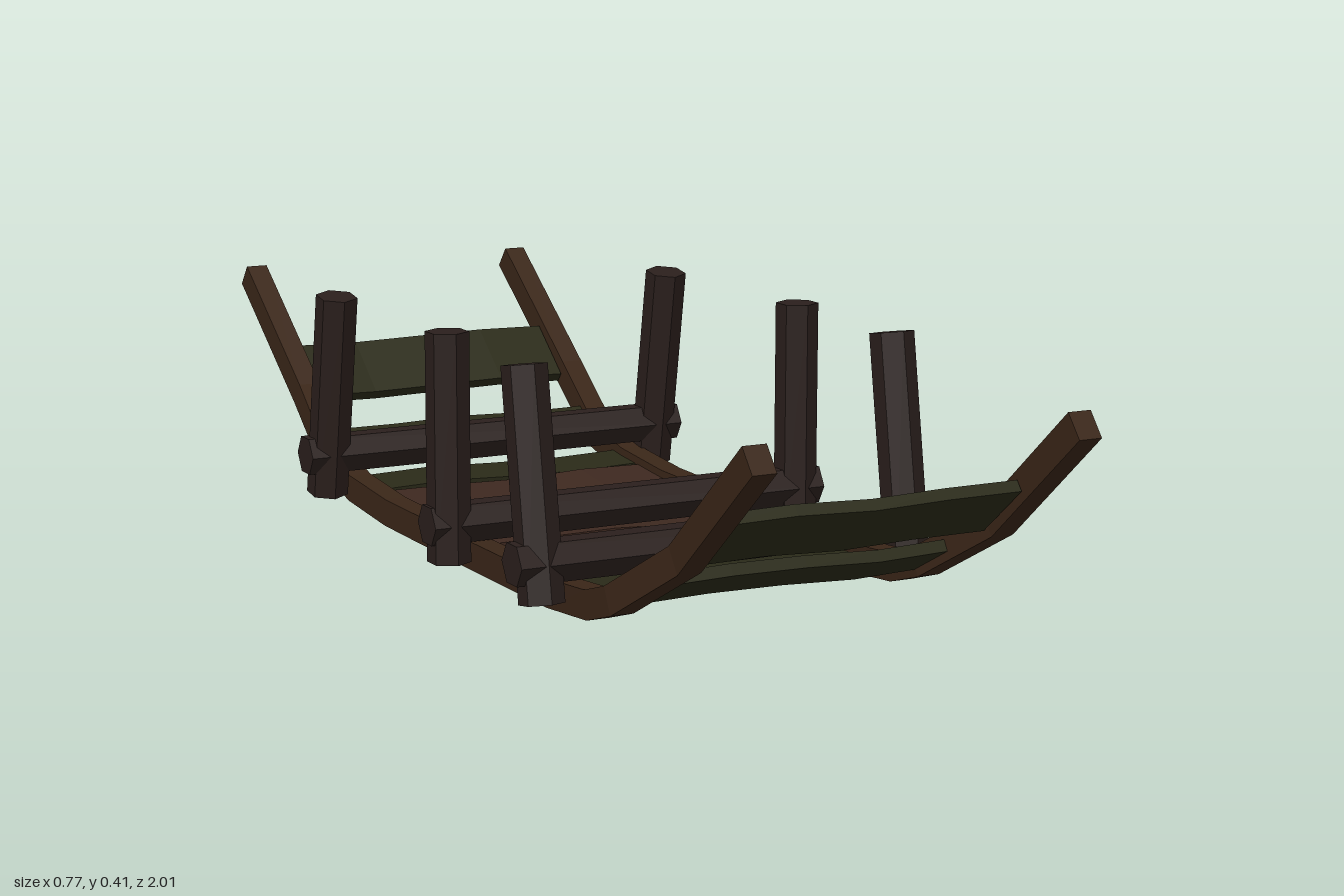
import * as THREE from 'three';

const mat = (color) => new THREE.MeshStandardMaterial({ color, flatShading: true, side: THREE.DoubleSide });

// Rail centre line: z, height, sideways wobble
const path = [
  [0.988, 0.367, 0], [0.75, 0.172, 0.011], [0.58, 0.075, -0.011], [0.5, 0.05, -0.008],
  [0.35, 0.035, -0.002], [0.02, 0.026, 0.011], [-0.3, 0.035, -0.003], [-0.45, 0.05, -0.008],
  [-0.58, 0.075, -0.004], [-0.75, 0.172, 0.011], [-0.988, 0.367, 0],
];

// Height and slope angle of the rails at a given z
function railAt(z) {
  let i = 0;
  while (i < path.length - 2 && path[i + 1][0] > z) i++;
  const [z0, y0] = path[i], [z1, y1] = path[i + 1];
  const slope = (y1 - y0) / (z1 - z0);
  return { y: y0 + slope * (z - z0), angle: -Math.atan(slope) };
}

// Square beam bent along the rail path
function railGeometry() {
  const n = path.length - 1;
  const geo = new THREE.BoxGeometry(0.04, 0.048, 1, 1, 1, n);
  const p = geo.attributes.position;
  for (let i = 0; i < p.count; i++) {
    const k = Math.round((0.5 - p.getZ(i)) * n);
    const a = path[Math.max(k - 1, 0)], b = path[Math.min(k + 1, n)];
    const dir = new THREE.Vector2(a[0] - b[0], a[1] - b[1]).normalize();
    const h = p.getY(i);
    p.setXYZ(i, p.getX(i) + path[k][2], path[k][1] + h * dir.x, path[k][0] - h * dir.y);
  }
  geo.computeVertexNormals();
  return geo;
}

// Plank with a slightly uneven, hand-hewn length
function plankGeometry(width, seed) {
  const geo = new THREE.BoxGeometry(0.52, 0.02, width, 4, 1, 1);
  const p = geo.attributes.position;
  for (let i = 0; i < p.count; i++) {
    const x = p.getX(i);
    if (Math.abs(x) < 0.25) p.setY(i, p.getY(i) + 0.004 * Math.sin(x * 14 + seed * 1.7));
  }
  geo.computeVertexNormals();
  return geo;
}

// Six-sided log between two points
function log(name, from, to, radius, material) {
  const a = new THREE.Vector3(...from), b = new THREE.Vector3(...to);
  const dir = b.clone().sub(a);
  const mesh = new THREE.Mesh(new THREE.CylinderGeometry(radius, radius, dir.length(), 6), material);
  mesh.position.copy(a).add(b).multiplyScalar(0.5);
  mesh.quaternion.setFromUnitVectors(new THREE.Vector3(0, 1, 0), dir.normalize());
  mesh.name = name;
  return mesh;
}

export function createModel() {
  const model = new THREE.Group();
  model.name = 'sledge';
  const railMat = mat(0x3a2618), logMat = mat(0x2a1f1c);
  const brown = mat(0x3d281f), green = mat(0x2a2a18);

  // Two curved side rails
  const railGeo = railGeometry();
  for (const [name, x] of [['leftRail', 0.275], ['rightRail', -0.275]]) {
    const rail = new THREE.Mesh(railGeo, railMat);
    rail.name = name;
    rail.position.x = x;
    model.add(rail);
  }

  // Deck planks: back edge, front edge, material
  const planks = [
    [-0.835, -0.737, green], [-0.645, -0.572, green], [-0.485, -0.397, green],
    [-0.387, -0.265, brown], [-0.183, -0.128, brown], [-0.05, 0.01, brown],
    [0.055, 0.125, brown], [0.2, 0.265, brown], [0.275, 0.395, green],
    [0.575, 0.655, green], [0.745, 0.845, green],
  ];
  planks.forEach(([z0, z1, material], i) => {
    const z = (z0 + z1) / 2, { y, angle } = railAt(z);
    const plank = new THREE.Mesh(plankGeometry((z1 - z0) / Math.cos(angle), i), material);
    plank.name = 'plank';
    plank.position.set(0, y, z);
    plank.rotation.x = angle;
    model.add(plank);
  });

  // Crossbars, each with a pair of upright stakes
  const frames = [
    { name: 'front', z: 0.415, y: 0.105, bar: [-0.388, 0.382], posts: [-0.342, 0.328], base: [0.04, 0.427], top: 0.367 },
    { name: 'middle', z: 0.025, y: 0.085, bar: [-0.36, 0.386], posts: [-0.322, 0.345], base: [0.02, 0.03], top: 0.03 },
    { name: 'back', z: -0.453, y: 0.118, bar: [-0.386, 0.358], posts: [-0.342, 0.315], base: [0.045, -0.46], top: -0.4 },
  ];
  for (const f of frames) {
    model.add(log(f.name + 'Crossbar', [f.bar[0], f.y, f.z], [f.bar[1], f.y, f.z], 0.037, logMat));
    for (const x of f.posts) {
      model.add(log(f.name + 'Post', [x, f.base[0], f.base[1]], [x, 0.41, f.top], 0.037, logMat));
    }
  }
  return model;
}
